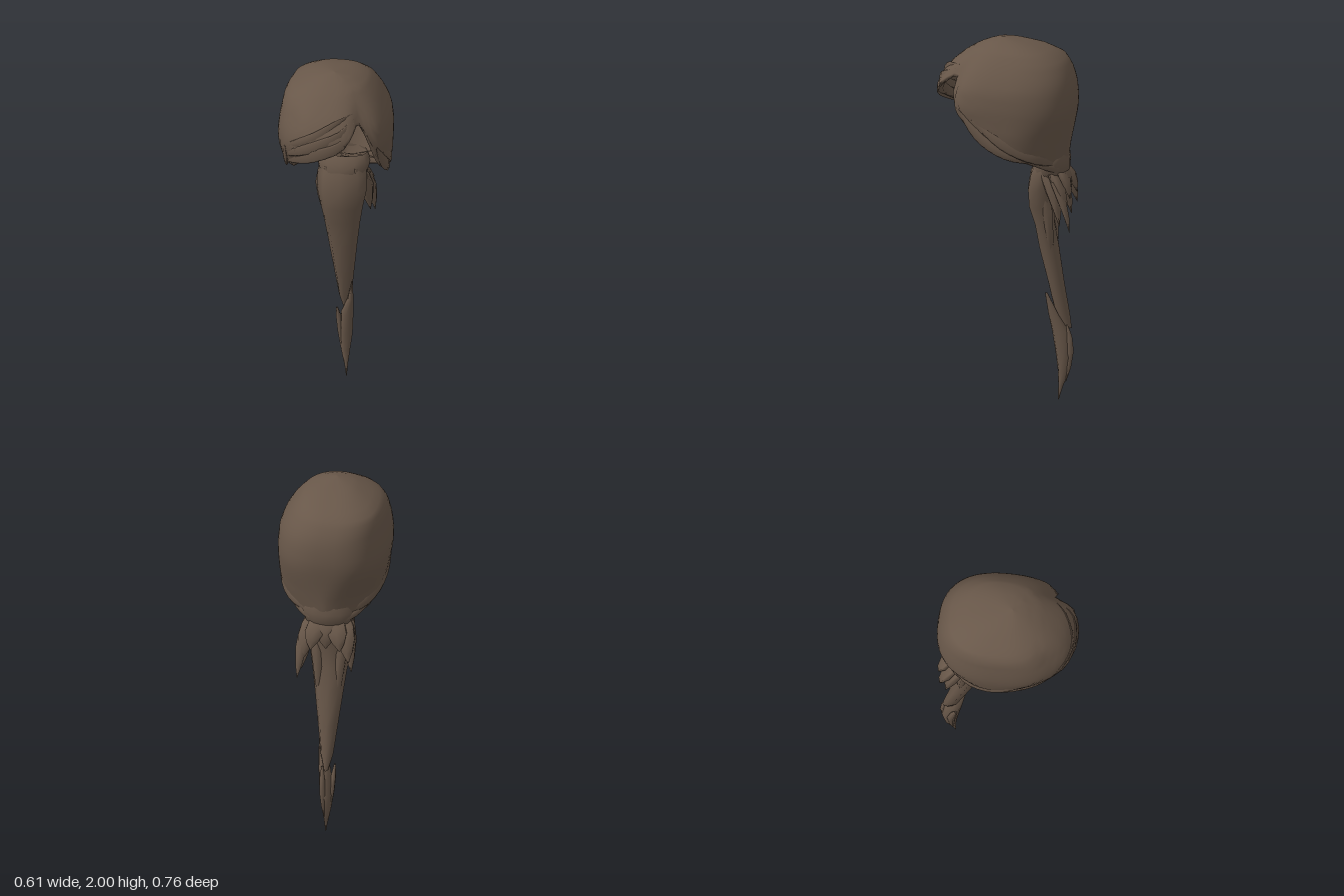
import * as THREE from 'three';

const hair = new THREE.MeshStandardMaterial({ color: 0x685749, side: THREE.DoubleSide });
hair.name = 'brown hair';

// Linear lookup in a table whose rows rise by their first entry
function look(table, x) {
  let i = 1;
  while (i < table.length - 1 && table[i][0] < x) i++;
  const a = table[i - 1], b = table[i];
  const t = THREE.MathUtils.clamp((x - a[0]) / (b[0] - a[0]), 0, 1);
  return a.map((v, k) => v + (b[k] - v) * t);
}

// Skin a list of closed rings, each with the same number of points
function loft(name, rings) {
  const n = rings[0].length, index = [];
  for (let i = 0; i < rings.length - 1; i++) {
    for (let j = 0; j < n; j++) {
      const a = i * n + j, b = i * n + (j + 1) % n;
      index.push(a, a + n, b, b, a + n, b + n);
    }
  }
  const geo = new THREE.BufferGeometry().setFromPoints(rings.flat());
  geo.setIndex(index);
  geo.computeVertexNormals();
  const mesh = new THREE.Mesh(geo, hair);
  mesh.name = name;
  return mesh;
}

// Head outline: y, half width, front z, back z, centre x
const HEAD = [
  [1.25, 0.12, -0.18, -0.30, 0], [1.30, 0.16, -0.12, -0.325, 0], [1.35, 0.215, -0.01, -0.33, 0],
  [1.40, 0.26, 0.11, -0.335, 0.01], [1.50, 0.293, 0.27, -0.35, 0.005], [1.60, 0.302, 0.345, -0.365, 0],
  [1.66, 0.305, 0.38, -0.372, 0], [1.75, 0.295, 0.38, -0.365, 0], [1.80, 0.28, 0.355, -0.352, -0.005],
  [1.85, 0.262, 0.315, -0.332, -0.015], [1.90, 0.232, 0.255, -0.295, -0.02], [1.95, 0.165, 0.18, -0.21, 0],
  [1.985, 0.085, 0.10, -0.08, 0], [2.0, 0, 0.035, 0.035, 0],
];

// Lower edge of the cap by angle from the front: swept fringe, sides, nape
const RIM = [
  [-180, 1.27], [-125, 1.30], [-90, 1.36], [-65, 1.40], [-45, 1.47], [-28, 1.57],
  [0, 1.66], [18, 1.72], [32, 1.79], [40, 1.82], [46, 1.77], [54, 1.62],
  [61, 1.50], [70, 1.42], [90, 1.36], [125, 1.30], [180, 1.27],
];

// Hollows where the hair parts: angle, angular spread, y, depth
const DENTS = [[44, 13, 1.80, 0.10], [-42, 16, 1.82, 0.05]];

function onHead(deg, y, inset = 0) {
  const [, hw, zf, zb, xc] = look(HEAD, y);
  const s = Math.sin(deg * Math.PI / 180), c = Math.cos(deg * Math.PI / 180);
  // the back narrows toward the tie
  const power = c > 0 ? 0.86 : THREE.MathUtils.lerp(1.4, 0.8, THREE.MathUtils.smoothstep(y, 1.28, 1.64));
  const bulge = (v) => Math.sign(v) * Math.pow(Math.abs(v), power);
  const dent = DENTS.reduce((k, [a, spread, h, depth]) =>
    k - depth * Math.exp(-(((deg - a) / spread) ** 2) - ((y - h) / 0.09) ** 2), 1);
  const w = Math.max(hw - inset, 0.0005) * dent, d = Math.max((zf - zb) / 2 - inset, 0.0005) * dent;
  return new THREE.Vector3(xc + w * bulge(s), y, (zf + zb) / 2 + d * bulge(c));
}

// Hollow cap with a turned-in edge
function cap() {
  const rows = 20, cols = 60, rings = [];
  const ring = (fn) => Array.from({ length: cols }, (_, j) => {
    const deg = -180 + 360 * j / cols;
    return fn(deg, look(RIM, deg)[1]);
  });
  for (let i = 0; i <= rows; i++) {
    const t = Math.pow(i / rows, 1.6);
    rings.push(ring((deg, rim) => onHead(deg, 2 + (rim - 2) * t)));
  }
  rings.push(ring((deg, rim) => onHead(deg, rim + 0.005, 0.025)));
  rings.push(ring((deg, rim) => onHead(deg, rim + 0.06, 0.03)));
  return loft('hairCap', rings);
}

// Lock lying on the cap along [angle, y] points
function headLock(name, path, width, thick) {
  const curve = new THREE.CatmullRomCurve3(path.map(([d, y]) => onHead(d, y)));
  const rings = [];
  for (let i = 0; i <= 12; i++) {
    const t = i / 12, p = curve.getPoint(t), along = curve.getTangent(t);
    const out = new THREE.Vector3(p.x, 0, p.z).normalize();
    const across = new THREE.Vector3().crossVectors(along, out).normalize();
    const k = Math.sin(Math.PI * (0.04 + 0.93 * t));
    rings.push(Array.from({ length: 8 }, (_, j) => {
      const a = -j * Math.PI / 4;
      return p.clone().addScaledVector(across, Math.cos(a) * width * k)
        .addScaledVector(out, Math.sin(a) * thick * k);
    }));
  }
  return loft(name, rings);
}

// Hanging hair from levels of y, centre x, half width, front z, back z
function hanging(name, levels, sides = 8) {
  return loft(name, levels.map(([y, x, w, zf, zb]) =>
    Array.from({ length: sides }, (_, j) => {
      const a = j / sides * Math.PI * 2;
      return new THREE.Vector3(x + w * Math.sin(a), y, (zf + zb) / 2 + (zf - zb) / 2 * Math.cos(a));
    })));
}

// Leaf-shaped lock from root to tip
function leaf(name, root, tip, w, d) {
  const levels = [[0, 0.3], [0.2, 0.85], [0.45, 1], [0.75, 0.6], [1, 0.03]].map(([t, k]) => {
    const [x, y, z] = root.map((v, i) => v + (tip[i] - v) * t);
    const bow = 0.02 * Math.sin(Math.PI * t);
    return [y, x, w * k, z - bow + d * k, z - bow - d * k];
  });
  return hanging(name, levels, 6);
}

export function createModel() {
  const model = new THREE.Group();
  model.name = 'ponytailHair';
  model.add(cap());

  // Fringe swept across the forehead
  [[0, 0.035], [0.055, 0.03], [0.11, 0.025]].forEach(([up, w]) => model.add(headLock('fringeLock', [
    [34, 1.82 + up * 0.4], [15, 1.73 + up], [-8, 1.66 + up], [-32, 1.59 + up], [-58, 1.50 + up],
  ], w, 0.006)));

  // Side locks drawn back to the tie
  for (const s of [-1, 1]) {
    const front = s > 0 ? 57 : 46;
    model.add(headLock('templeLock', [[s * front, 1.66], [s * (front + 10), 1.52], [s * 82, 1.42], [s * 110, 1.36]], 0.035, 0.012));
    model.add(headLock('sideLock', [[s * 68, 1.6], [s * 88, 1.48], [s * 120, 1.39], [s * 160, 1.32]], 0.035, 0.008));
    model.add(headLock('napeLock', [[s * 95, 1.38], [s * 125, 1.33], [s * 155, 1.30], [s * 178, 1.29]], 0.025, 0.012));
  }

  // Gathered hair at the tie
  model.add(hanging('gatheredHair', [
    [1.38, 0, 0.13, -0.17, -0.33], [1.34, 0, 0.15, -0.14, -0.335],
    [1.29, 0, 0.135, -0.13, -0.335], [1.24, 0, 0.12, -0.13, -0.30],
  ], 12));

  // Long tail
  model.add(hanging('ponytail', [
    [1.34, 0, 0.12, -0.15, -0.29], [1.27, 0, 0.135, -0.12, -0.28], [1.18, 0, 0.135, -0.105, -0.26],
    [1.08, 0, 0.115, -0.11, -0.25], [0.98, 0, 0.098, -0.145, -0.25], [0.85, 0, 0.08, -0.165, -0.275],
    [0.65, 0, 0.055, -0.215, -0.305], [0.48, 0, 0.034, -0.255, -0.335], [0.40, 0, 0.012, -0.29, -0.345],
  ], 8));
  for (const s of [-1, 1]) {
    model.add(leaf('tailStrand', [s * 0.08, 1.32, -0.16], [s * 0.045, 0.74, -0.24], 0.035, 0.04));
  }

  // End tufts
  model.add(hanging('endTuft', [
    [0.60, 0.05, 0.004, -0.21, -0.225], [0.48, 0.036, 0.016, -0.225, -0.28], [0.38, 0.012, 0.034, -0.24, -0.335],
    [0.24, 0.004, 0.034, -0.26, -0.35], [0.15, 0.002, 0.024, -0.27, -0.33],
    [0.08, 0.006, 0.012, -0.272, -0.30], [0, 0.01, 0.002, -0.272, -0.276],
  ]));
  model.add(leaf('endWisp', [-0.04, 0.41, -0.27], [-0.005, 0.07, -0.285], 0.018, 0.022));
  model.add(leaf('endWisp', [0.02, 0.42, -0.325], [0.012, 0.1, -0.315], 0.018, 0.02));

  // Short locks fanning out behind the tie
  for (const s of [-1, 1]) {
    model.add(leaf('outerLock', [s * 0.1, 1.31, -0.20], [s * 0.135, 1.0, -0.31], 0.045, 0.035));
    model.add(leaf('middleLock', [s * 0.09, 1.31, -0.24], [s * 0.125, 1.07, -0.345], 0.055, 0.03));
    model.add(leaf('innerLock', [s * 0.045, 1.32, -0.27], [s * 0.08, 1.14, -0.355], 0.06, 0.024));
  }
  model.add(leaf('outerLock', [0.12, 1.28, -0.25], [0.15, 0.97, -0.37], 0.035, 0.024));
  model.add(leaf('backLock', [0, 1.33, -0.28], [0, 1.14, -0.33], 0.065, 0.024));
  return model;
}
